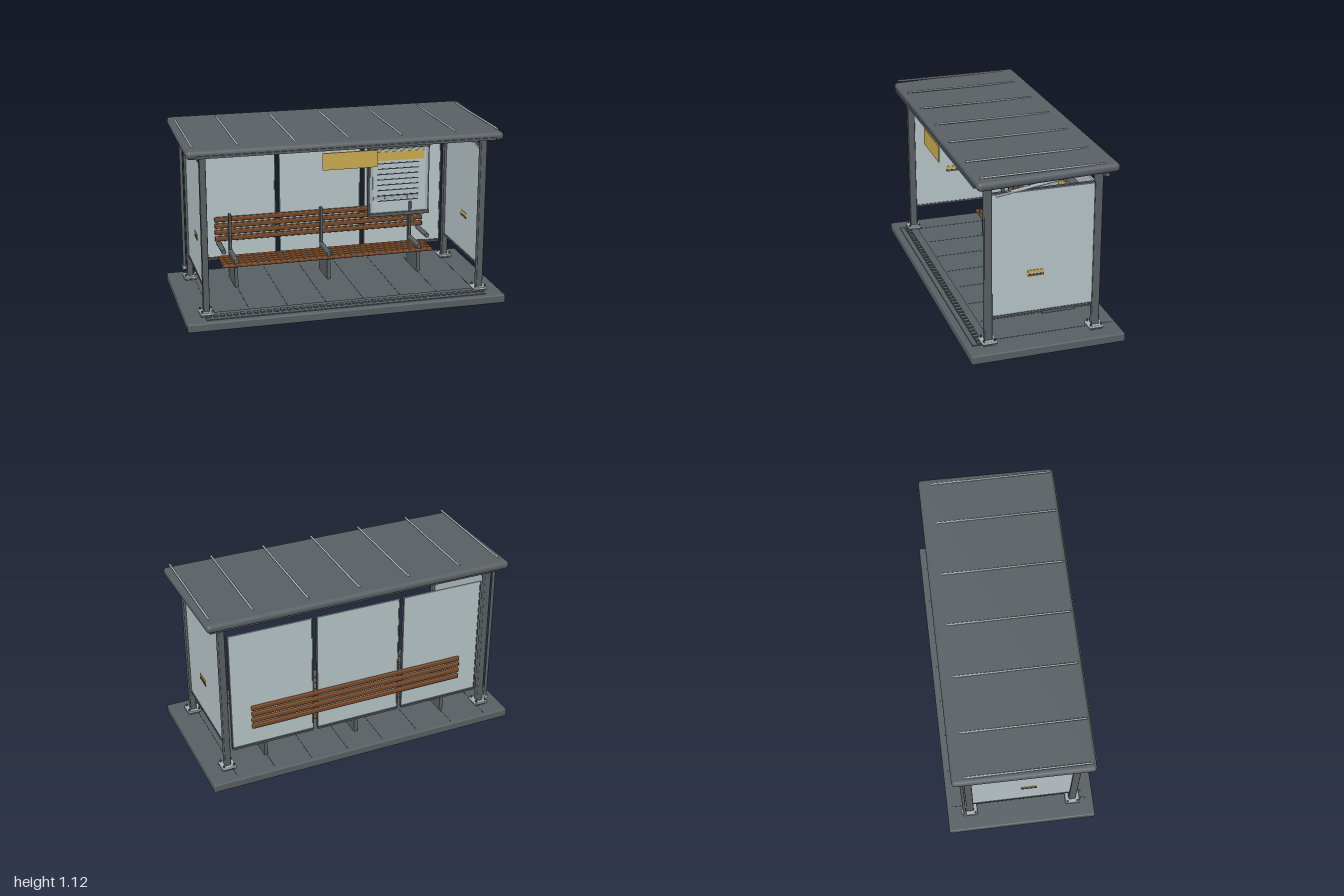
import * as THREE from 'three';
import { RoundedBoxGeometry } from 'three/addons/geometries/RoundedBoxGeometry.js';

const mat = (name, color) => {
  const m = new THREE.MeshStandardMaterial({ color });
  m.name = name;
  return m;
};

export function createModel() {
  const model = new THREE.Group();
  model.name = 'busShelter';
  const steel = mat('dark steel', 0x596063);
  const metal = mat('light metal', 0xa9b2b6);
  const glass = mat('pale glass', 0xb9c6ca);
  const wood = mat('brown wood', 0x754826);
  const yellow = mat('sign yellow', 0xccad50);
  const ink = mat('dark ink', 0x343b3f);

  const add = (name, geo, material, x, y, z) => {
    const mesh = new THREE.Mesh(geo, material);
    mesh.name = name;
    mesh.position.set(x, y, z);
    model.add(mesh);
    return mesh;
  };
  // Box given by its limits on each axis
  const box = (name, m, x0, x1, y0, y1, z0, z1, r = 0) => {
    const s = [x1 - x0, y1 - y0, z1 - z0];
    const geo = r ? new RoundedBoxGeometry(...s, 3, r) : new THREE.BoxGeometry(...s);
    return add(name, geo, m, (x0 + x1) / 2, (y0 + y1) / 2, (z0 + z1) / 2);
  };
  // Round bar between two points
  const bar = (name, m, a, b, r) => {
    const p = new THREE.Vector3(...a), q = new THREE.Vector3(...b);
    const d = q.clone().sub(p);
    const mesh = add(name, new THREE.CylinderGeometry(r, r, d.length(), 12), m, 0, 0, 0);
    mesh.position.copy(p).add(q).multiplyScalar(0.5);
    mesh.quaternion.setFromUnitVectors(new THREE.Vector3(0, 1, 0), d.normalize());
    return mesh;
  };

  // Platform with floor joints and a studded kerb strip
  box('platform', steel, -1, 1, 0, 0.055, -0.47, 0.47, 0.01);
  for (let i = 0; i < 8; i++) {
    const x = -0.84 + i * 0.24;
    box('floorJoint', ink, x - 0.002, x + 0.002, 0.053, 0.056, -0.44, 0.3);
  }
  box('tactileStrip', steel, -0.88, 0.88, 0.054, 0.06, 0.315, 0.43);
  for (let i = 0; i < 43; i++) {
    const x = -0.86 + i * 0.041;
    box('tactileStud', steel, x - 0.013, x + 0.013, 0.058, 0.067, 0.365, 0.4);
  }

  // Corner posts on bolted base plates
  for (const s of [-1, 1]) {
    for (const [z, w] of [[0.335, 0.023], [-0.323, 0.023]]) {
      const x = s * 0.867;
      box('post', steel, x - 0.019, x + 0.019, 0.055, 1.07, z - w, z + w, 0.006);
      box('basePlate', metal, x - 0.045, x + 0.045, 0.066, 0.083, z - 0.046, z + 0.046, 0.005);
      box('basePad', steel, x - 0.035, x + 0.035, 0.055, 0.067, z - 0.035, z + 0.035);
      for (const i of [-1, 1]) for (const j of [-1, 1]) {
        bar('baseBolt', steel, [x + i * 0.032, 0.08, z + j * 0.032], [x + i * 0.032, 0.095, z + j * 0.032], 0.006);
      }
    }
  }

  // Sloping roof with raised ribs
  const roof = add('roof', new RoundedBoxGeometry(1.94, 0.052, 0.835, 4, 0.024), steel, 0, 1.076, 0.003);
  roof.rotation.x = 0.031;
  for (const x of [-0.93, -0.665, -0.325, 0, 0.325, 0.665, 0.93]) {
    bar('roofRib', metal, [x, 1.108, 0.4], [x, 1.111, -0.335], 0.006);
  }
  box('rearGutter', steel, -0.94, 0.94, 1.03, 1.067, -0.362, -0.332, 0.005);
  box('frontTrim', steel, -0.915, 0.915, 1.045, 1.06, 0.41, 0.428);

  // Downpipe at the rear corner
  bar('downpipe', steel, [-0.895, 0.115, -0.36], [-0.895, 1.04, -0.36], 0.01);
  box('downpipeOutlet', metal, -0.909, -0.88, 0.11, 0.133, -0.38, -0.345, 0.004);

  // Side walls with rails, marker plates and roof struts
  for (const s of [-1, 1]) {
    const x = s * 0.867;
    box('sideGlass', glass, x - 0.005, x + 0.005, 0.22, 0.978, -0.302, 0.312);
    for (const y of [0.22, 0.98]) {
      box('sideRail', steel, x - 0.009, x + 0.009, y - 0.006, y + 0.006, -0.302, 0.312);
    }
    box('markerYellow', yellow, x - 0.008, x + 0.008, 0.469, 0.486, 0, 0.098);
    box('markerBrown', wood, x - 0.008, x + 0.008, 0.448, 0.461, 0, 0.098);
    bar('roofStrut', metal, [x, 0.967, 0.288], [x, 1.038, -0.2], 0.01);
  }

  // Three rear glass panels with thin edge strips
  for (const [x0, x1] of [[-0.825, -0.3], [-0.27, 0.27], [0.3, 0.825]]) {
    box('rearGlass', glass, x0, x1, 0.187, 0.965, -0.326, -0.316);
    box('rearRail', steel, x0, x1, 0.17, 0.182, -0.33, -0.312);
    for (const x of [x0, x1]) {
      box('rearEdge', steel, x - 0.004, x + 0.004, 0.182, 0.965, -0.33, -0.312);
    }
  }

  // Bench: seat slats, back slats, legs, uprights and arms
  for (let i = 0; i < 5; i++) {
    const z = -0.08 - i * 0.04;
    box('seatSlat', wood, -0.695, 0.695, 0.195, 0.216, z - 0.018, z + 0.018, 0.007);
  }
  for (let i = 0; i < 4; i++) {
    const y = 0.313 + i * 0.043;
    box('backSlat', wood, -0.7, 0.7, y - 0.015, y + 0.015, -0.341, -0.295, 0.007);
  }
  for (const x of [-0.605, 0, 0.605]) {
    box('benchLeg', steel, x - 0.011, x + 0.011, 0.055, 0.198, -0.3, -0.085);
    box('benchUpright', steel, x - 0.009, x + 0.009, 0.198, 0.48, -0.305, -0.27, 0.004);
    box('benchDivider', steel, x - 0.013, x + 0.013, 0.214, 0.245, -0.29, -0.065, 0.006);
  }
  for (const s of [-1, 1]) {
    bar('armRest', steel, [s * 0.675, 0.283, -0.31], [s * 0.675, 0.283, -0.12], 0.016);
  }

  // Hanging sign plate under the front edge
  box('hangingSign', yellow, -0.168, 0.168, 0.927, 1.03, 0.414, 0.423);

  // Timetable board
  box('boardBack', steel, 0.318, 0.738, 0.39, 0.87, -0.312, -0.285);
  box('boardFrame', metal, 0.33, 0.726, 0.41, 0.846, -0.286, -0.279);
  box('boardSheet', glass, 0.347, 0.709, 0.422, 0.836, -0.28, -0.276);
  for (const y of [0.4, 0.858]) {
    box('boardBar', steel, 0.318, 0.738, y - 0.012, y + 0.012, -0.29, -0.268, 0.005);
  }
  box('boardHeader', yellow, 0.355, 0.697, 0.768, 0.828, -0.277, -0.272);
  for (let i = 0; i < 8; i++) {
    const y = 0.748 - i * 0.0363;
    box('boardLine', ink, 0.38, 0.66, y - 0.003, y + 0.003, -0.277, -0.273);
  }
  for (const x of [0.388, 0.467, 0.545, 0.623]) {
    box('boardTag', metal, x - 0.038, x + 0.038, 0.505, 0.526, -0.277, -0.272);
  }
  return model;
}
